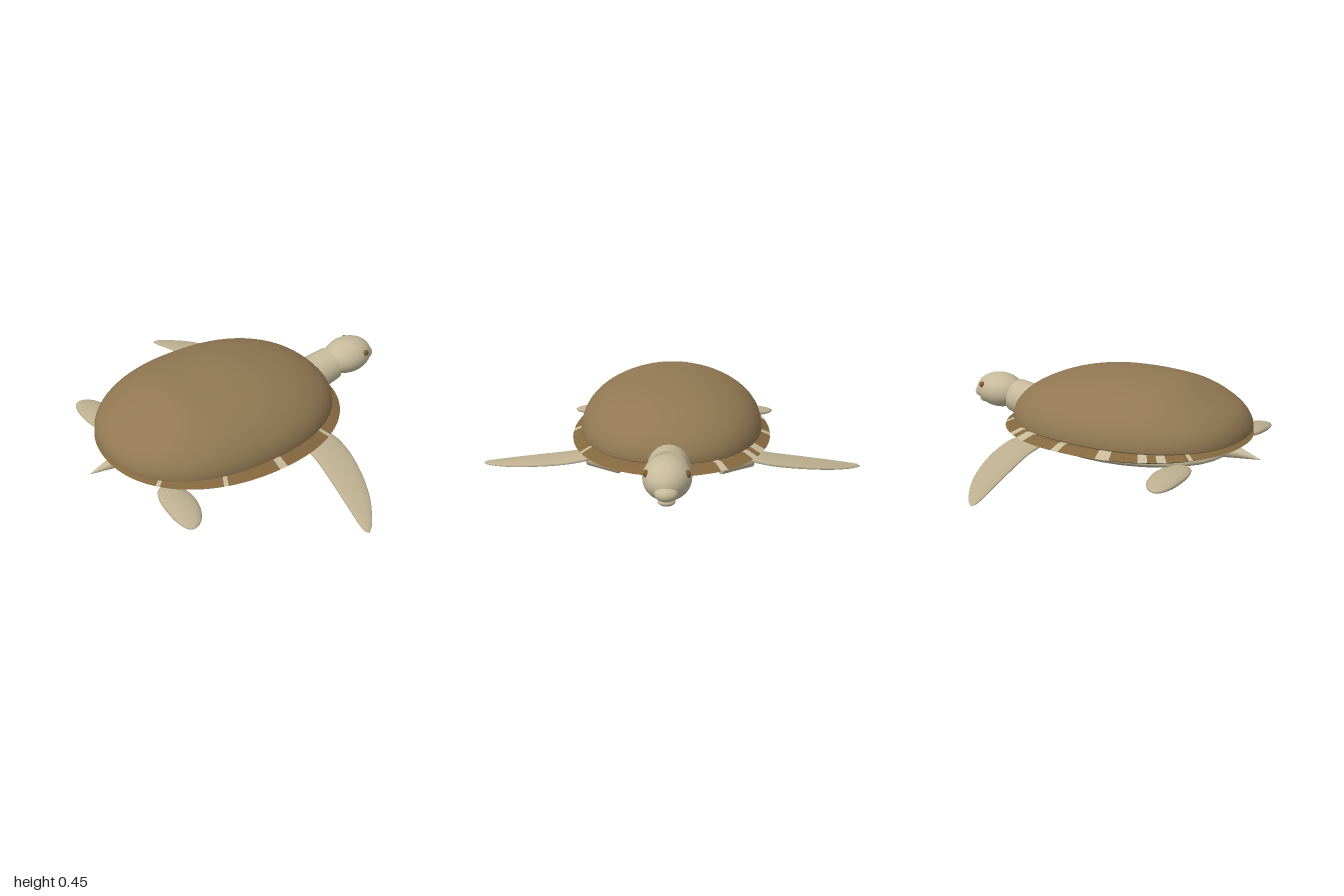
import * as THREE from 'three';
import { toCreasedNormals } from 'three/addons/utils/BufferGeometryUtils.js';

const flat = (name, color, side = THREE.FrontSide) => {
  const m = new THREE.MeshStandardMaterial({ color, side });
  m.name = name;
  return m;
};

// Skin between successive closed rings of points.
function loft(rings, closed = false) {
  const n = rings[0].length, count = rings.length, index = [];
  const id = (i, j) => (i % count) * n + (j % n);
  for (let i = 0; i < (closed ? count : count - 1); i++) {
    for (let j = 0; j < n; j++) {
      index.push(id(i, j), id(i, j + 1), id(i + 1, j));
      index.push(id(i, j + 1), id(i + 1, j + 1), id(i + 1, j));
    }
  }
  const g = new THREE.BufferGeometry();
  g.setAttribute('position', new THREE.Float32BufferAttribute(rings.flat(2), 3));
  g.setIndex(index);
  g.computeVertexNormals();
  return g;
}

// Copy across the body's centre plane, keeping faces outward.
function mirrorZ(geometry) {
  const g = geometry.clone().scale(1, 1, -1);
  const a = g.index.array;
  for (let i = 0; i < a.length; i += 3) [a[i], a[i + 1]] = [a[i + 1], a[i]];
  g.computeVertexNormals();
  return g;
}

// Rounded oval outline of the shell, as unit x and z.
function oval(angle, power = 2.25) {
  const c = Math.cos(angle), s = Math.sin(angle);
  const r = (Math.abs(c) ** power + Math.abs(s) ** power) ** (-1 / power);
  return [c * r, s * r];
}

// Flat blade with a lens section; rows are [z, trailing x, leading x, y, half thickness].
function blade(rows) {
  const spline = new THREE.CatmullRomCurve3(rows.map(r => new THREE.Vector3(r[1], r[2], r[0])));
  const heights = new THREE.CatmullRomCurve3(rows.map(r => new THREE.Vector3(r[3], r[4], 0)));
  const rings = [];
  for (let i = 0; i <= 28; i++) {
    const p = spline.getPoint(i / 28), h = heights.getPoint(i / 28), ring = [];
    for (let j = 0; j < 16; j++) {
      const a = j / 16 * Math.PI * 2;
      ring.push([(p.x + p.y) / 2 + Math.cos(a) * (p.y - p.x) / 2, h.x + Math.sin(a) * h.y, p.z]);
    }
    rings.push(ring);
  }
  return loft(rings);
}

export function createModel() {
  const model = new THREE.Group();
  model.name = 'seaTurtle';
  const shellBrown = flat('shellBrown', 0x917852);
  const rimBrown = flat('rimBrown', 0x85683f);
  const skin = flat('skinCream', 0xc6ba9a);
  const blades = flat('flipperCream', 0xbdb090, THREE.DoubleSide);
  const belly = flat('bellyCream', 0xbdb598);
  const eyeBrown = flat('eyeBrown', 0x7d5a30);

  const add = (name, geometry, material) => {
    const mesh = new THREE.Mesh(geometry, material);
    mesh.name = name;
    model.add(mesh);
    return mesh;
  };
  const ellipsoid = (name, material, [x, y, z], [a, b, c]) =>
    add(name, new THREE.SphereGeometry(1, 32, 24).scale(a, b, c).translate(x, y, z), material);
  // Tapered round limb between two points.
  const limb = (name, material, from, to, r0, r1) => {
    const a = new THREE.Vector3(...from), b = new THREE.Vector3(...to);
    const mesh = add(name, new THREE.CylinderGeometry(r1, r0, a.distanceTo(b), 24), material);
    mesh.position.copy(a).lerp(b, 0.5);
    mesh.quaternion.setFromUnitVectors(new THREE.Vector3(0, 1, 0), b.clone().sub(a).normalize());
  };

  // Domed shell: a sphere with a rounder outline, a shallow underside and a dip at the back.
  const dome = new THREE.SphereGeometry(1, 64, 48);
  const p = dome.attributes.position;
  for (let i = 0; i < p.count; i++) {
    const x = p.getX(i), y = p.getY(i), z = p.getZ(i);
    const level = Math.hypot(x, z);
    const [ox, oz] = oval(Math.atan2(z, x));
    const px = -0.163 + ox * level * 0.645;
    const bump = 0.018 * Math.exp(-(((px + 0.46) / 0.1) ** 2)) - 0.012 * Math.exp(-(((px + 0.66) / 0.07) ** 2));
    const crest = y > 0 ? bump * y * Math.exp(-((z / 0.5) ** 2)) : 0;
    p.setXYZ(i, px, 0.185 - 0.02 * px + y * (y > 0 ? 0.267 : 0.045) + crest, oz * level * 0.485);
  }
  dome.computeVertexNormals();
  add('shell', dome, shellBrown);

  // Sharp-edged rim with pale patches, tilted slightly down towards the head.
  const segments = 180, rings = [];
  const section = [[0, 0], [-0.055, 0.022], [-0.13, 0.02], [-0.13, -0.012], [-0.05, -0.022]];
  for (let i = 0; i < segments; i++) {
    const [ox, oz] = oval(i / segments * Math.PI * 2, 2.15);
    rings.push(section.map(([d, h]) => {
      const x = -0.14 + ox * (0.67 + d);
      return [x, 0.143 - 0.03 * x + h, oz * (0.53 + d)];
    }));
  }
  const rim = toCreasedNormals(loft(rings, true), 0.4);
  const patches = [[55, 58], [86, 90], [114, 116], [144, 146], [214, 216], [226, 230],
    [234, 238], [250, 256], [274, 278], [296, 302], [306, 310], [328, 332]];
  for (let i = 0; i < segments; i++) {
    const degrees = i * 360 / segments;
    const pale = patches.some(([a, b]) => degrees >= a && degrees < b);
    rim.addGroup(i * section.length * 6, section.length * 6, pale ? 1 : 0);
  }
  add('shellRim', rim, [rimBrown, skin]);

  // Belly plate
  ellipsoid('bellyPlate', belly, [-0.14, 0.105, 0], [0.58, 0.073, 0.41]);

  // Neck, head and beak
  limb('neck', skin, [0.385, 0.142, 0], [0.605, 0.183, 0], 0.109, 0.095);
  ellipsoid('head', skin, [0.725, 0.198, 0], [0.148, 0.098, 0.113]);
  ellipsoid('upperBeak', skin, [0.85, 0.17, 0], [0.05, 0.036, 0.054]);
  ellipsoid('lowerBeak', skin, [0.837, 0.128, 0], [0.035, 0.02, 0.04]);

  // Tail
  limb('tail', skin, [-0.72, 0.135, 0], [-0.9, 0.118, 0], 0.042, 0.002);

  // Flippers
  const frontBlade = blade([
    [0.36, 0.1, 0.22, 0.115, 0.008], [0.42, 0.085, 0.27, 0.11, 0.016], [0.52, 0.088, 0.28, 0.093, 0.016],
    [0.68, 0.065, 0.245, 0.066, 0.014], [0.84, 0.038, 0.175, 0.037, 0.011],
    [0.95, 0.02, 0.095, 0.016, 0.008], [0.985, 0.02, 0.06, 0.01, 0.005], [1, 0.034, 0.036, 0.005, 0.001]]);
  const rearBlade = blade([
    [0.27, -0.651, -0.649, 0.115, 0.002], [0.29, -0.69, -0.61, 0.114, 0.012], [0.35, -0.717, -0.575, 0.11, 0.021],
    [0.43, -0.724, -0.566, 0.106, 0.025], [0.51, -0.72, -0.585, 0.102, 0.02],
    [0.57, -0.7, -0.625, 0.099, 0.012], [0.59, -0.671, -0.669, 0.098, 0.002]]);
  for (const [side, s] of [['left', 1], ['right', -1]]) {
    // The head faces +x, so its right-hand limbs lie towards +z.
    const name = part => (s > 0 ? 'near' : 'far') + part;
    add(name('FrontFlipper'), s > 0 ? frontBlade : mirrorZ(frontBlade), blades);
    add(name('RearFlipper'), s > 0 ? rearBlade : mirrorZ(rearBlade), blades);
    limb(name('Shoulder'), skin, [0.26, 0.085, s * 0.25], [0.19, 0.1, s * 0.41], 0.046, 0.044);
    ellipsoid(name('Eye'), eyeBrown, [0.78, 0.236, s * 0.093], [0.018, 0.018, 0.014]);
  }
  return model;
}
